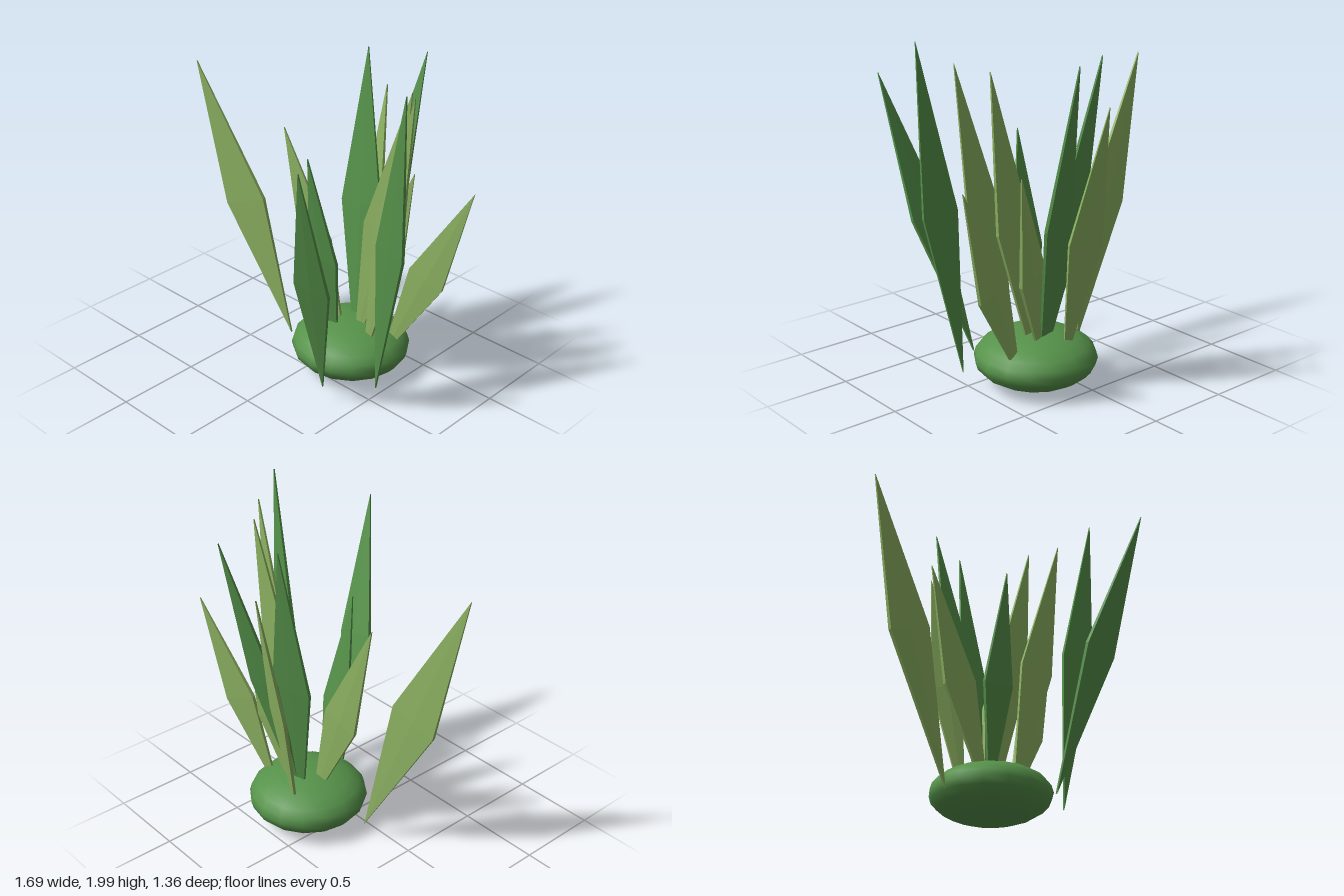
import * as THREE from 'three';
import { ConvexGeometry } from 'three/addons/geometries/ConvexGeometry.js';

const V = (x, y, z) => new THREE.Vector3(x, y, z);

// Thin kite-shaped leaf with a slight central ridge, grown along +y
function bladeGeometry(length, halfWidth) {
  const points = [];
  for (const s of [-1, 1]) {
    points.push(V(0, 0, s * 0.006), V(0, length, s * 0.004));
    points.push(V(0, length / 2, s * 0.016));
    for (const side of [-1, 1]) points.push(V(side * halfWidth, length / 2, s * 0.011));
  }
  return new ConvexGeometry(points);
}

// Blade from base to tip; across is the sideways direction of its flat face
function makeBlade(base, tip, across, halfWidth, material) {
  const axis = tip.clone().sub(base);
  const length = axis.length();
  axis.normalize();
  const side = across.clone().addScaledVector(axis, -across.dot(axis)).normalize();
  const normal = side.clone().cross(axis);
  const blade = new THREE.Mesh(bladeGeometry(length, halfWidth), material);
  blade.quaternion.setFromRotationMatrix(new THREE.Matrix4().makeBasis(side, axis, normal));
  blade.position.copy(base);
  return blade;
}

export function createModel() {
  const model = new THREE.Group();
  model.name = 'grassTuft';

  const darkGreen = new THREE.MeshStandardMaterial({ color: 0x56924a });
  darkGreen.name = 'leaf green';
  const lightGreen = new THREE.MeshStandardMaterial({ color: 0x8db262 });
  lightGreen.name = 'light leaf green';

  // Flattened mound
  const mound = new THREE.Mesh(new THREE.SphereGeometry(0.355, 16, 12), darkGreen);
  mound.name = 'mound';
  mound.scale.y = 0.46;
  mound.position.set(0.167, 0.165, -0.203);
  model.add(mound);

  // base x, base z, tip x, tip y, tip z, sideways slope in z, half width
  const lightBlades = [
    [-0.23, -0.1, -0.85, 1.76, 0.045, -0.14, 0.15],
    [0.14, -0.19, -0.32, 1.44, -0.14, -0.08, 0.12],
    [0.19, -0.215, 0.52, 1.85, -0.26, -0.09, 0.12],
    [0.3, -0.18, 0.65, 1.89, -0.125, 0.08, 0.11],
    [0.35, -0.285, 0.84, 1.3, -0.435, -0.2, 0.115],
    [0.09, -0.35, 0.03, 1.66, -0.635, 0.3, 0.1],
    [0.17, -0.27, 0.44, 1.3, -0.41, -0.25, 0.11],
  ];
  const darkBlades = [
    [0.16, -0.25, -0.02, 1.91, -0.52, -0.22, 0.127],
    [0.11, -0.15, 0.07, 1.43, 0.07, -0.03, 0.102],
    [0.17, -0.24, 0.28, 1.91, -0.675, -0.15, 0.1],
    [0.31, 0.19, 0.59, 1.72, 0.675, -0.09, 0.113],
    [0.54, -0.01, 0.75, 1.99, 0.07, 0.13, 0.105],
  ];

  const addBlades = (list, material, name) => list.forEach(([bx, bz, tx, ty, tz, slope, w], i) => {
    const blade = makeBlade(V(bx, 0.1, bz), V(tx, ty, tz), V(1, 0, slope), w, material);
    blade.name = name + (i + 1);
    model.add(blade);
  });
  addBlades(lightBlades, lightGreen, 'lightBlade');
  addBlades(darkBlades, darkGreen, 'darkBlade');
  return model;
}
